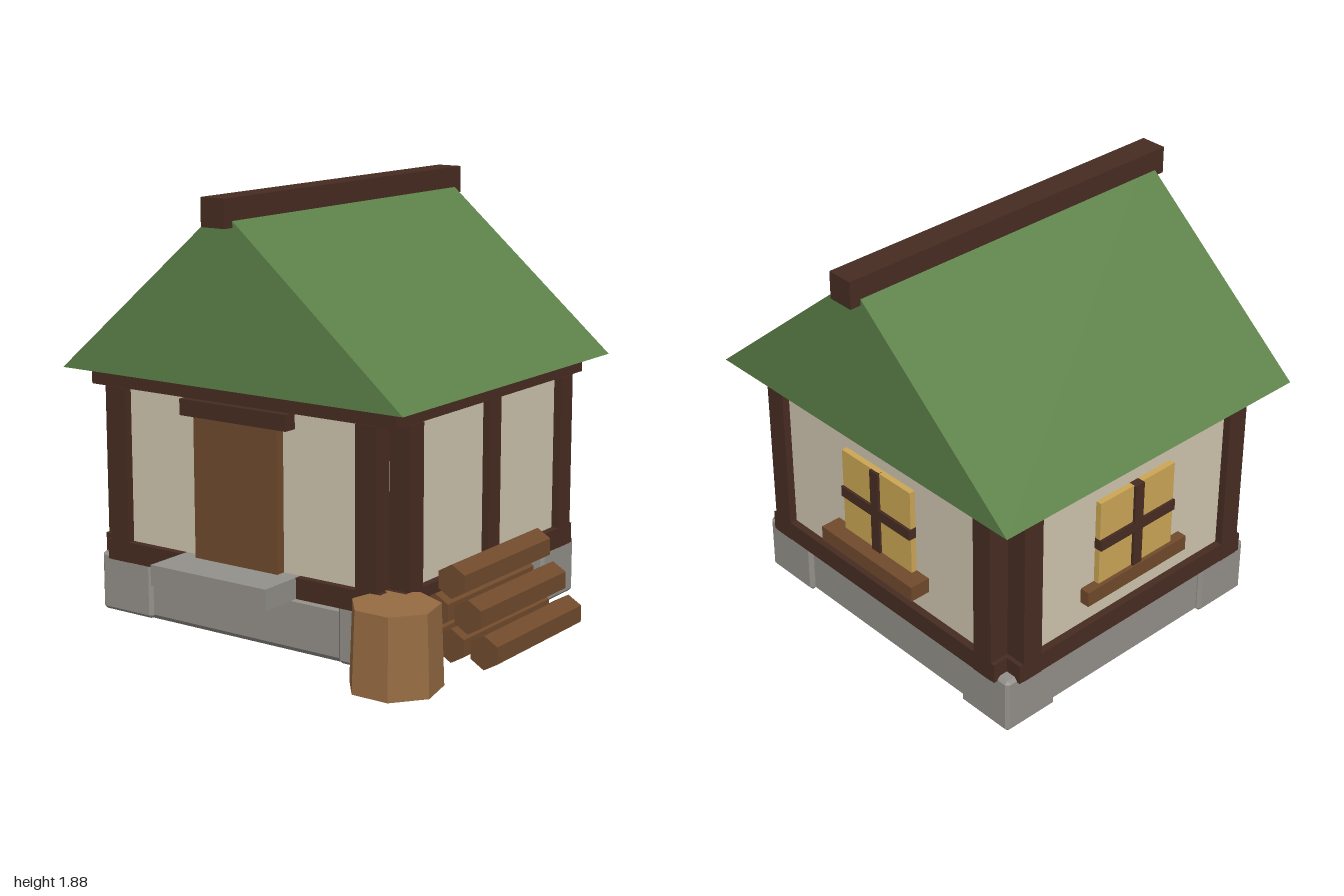
import * as THREE from 'three';
import { ConvexGeometry } from 'three/addons/geometries/ConvexGeometry.js';

const material = (name, color) => {
  const m = new THREE.MeshStandardMaterial({ color });
  m.name = name;
  return m;
};

export function createModel() {
  const mats = {
    roof: material('roof green', 0x5d824a),
    plaster: material('plaster cream', 0xcfc5ae),
    stone: material('stone grey', 0x93908a),
    timber: material('dark timber', 0x472c22),
    wood: material('brown wood', 0x704a2c),
    stump: material('light wood', 0x966b42),
    pane: material('window gold', 0xcba655),
  };
  const model = new THREE.Group();
  model.name = 'cottage';
  const house = new THREE.Group();
  house.name = 'house';
  house.position.set(-0.12, 0, -0.055);
  model.add(house);

  const add = (parent, name, geometry, mat) => {
    const mesh = new THREE.Mesh(geometry, mat);
    mesh.name = name;
    parent.add(mesh);
    return mesh;
  };
  // Box given by its extents on each axis
  const box = (parent, name, mat, x0, x1, y0, y1, z0, z1) => {
    const mesh = add(parent, name, new THREE.BoxGeometry(x1 - x0, y1 - y0, z1 - z0), mat);
    mesh.position.set((x0 + x1) / 2, (y0 + y1) / 2, (z0 + z1) / 2);
    return mesh;
  };
  // Block with all its edges chamfered by b
  const block = (w, h, d, b) => {
    const pts = [];
    for (const x of [-1, 1]) for (const y of [-1, 1]) for (const z of [-1, 1]) {
      for (let k = 0; k < 3; k++) {
        pts.push(new THREE.Vector3(
          x * (w / 2 - (k === 0 ? 0 : b)),
          y * (h / 2 - (k === 1 ? 0 : b)),
          z * (d / 2 - (k === 2 ? 0 : b))));
      }
    }
    return new ConvexGeometry(pts);
  };

  // Stone base with four larger corner stones
  add(house, 'foundation', block(1.52, 0.245, 1.39, 0.024), mats.stone).position.y = 0.1225;
  for (const sx of [-1, 1]) for (const sz of [-1, 1]) {
    add(house, 'cornerStone', block(0.285, 0.262, 0.275, 0.015), mats.stone)
      .position.set(sx * 0.6375, 0.139, sz * 0.5775);
  }

  // Timber-framed wall facing +z at distance d, turned about the house centre
  const wall = (name, half, d, topHalf, angle) => {
    const g = new THREE.Group();
    g.name = name;
    g.rotation.y = angle;
    house.add(g);
    const back = d - 0.095;
    for (const s of [-1, 1]) {
      const c = s * (half - 0.05);
      box(g, 'post', mats.timber, c - 0.05, c + 0.05, 0.25, 1.02, back, d);
    }
    box(g, 'bottomBeam', mats.timber, -half - 0.02, half + 0.02, 0.25, 0.34, back, d - 0.002);
    box(g, 'topBeam', mats.timber, -topHalf, topHalf, 1.02, 1.1, back, d - 0.004);
    box(g, 'plaster', mats.plaster, 0.09 - half, half - 0.09, 0.33, 1.03, back + 0.01, d - 0.035);
    return g;
  };
  const front = wall('frontWall', 0.7, 0.735, 0.787, 0);
  const rear = wall('backWall', 0.7, 0.735, 0.787, Math.PI);
  const left = wall('leftWall', 0.642, 0.797, 0.73, Math.PI / 2);
  const right = wall('rightWall', 0.642, 0.797, 0.73, -Math.PI / 2);
  box(left, 'middlePost', mats.timber, -0.045, 0.045, 0.34, 1.02, 0.71, 0.795);

  // Entrance
  box(front, 'door', mats.wood, -0.217, 0.217, 0.33, 0.96, 0.66, 0.745);
  box(front, 'lintel', mats.timber, -0.277, 0.277, 0.95, 1.02, 0.66, 0.762);
  box(front, 'step', mats.stone, -0.302, 0.302, 0.25, 0.34, 0.66, 0.935);

  // Windows with crossed bars and a sill
  const windowOn = (g, d, sillOut) => {
    box(g, 'windowPane', mats.pane, -0.215, 0.215, 0.5, 0.92, d - 0.06, d - 0.008);
    box(g, 'uprightBar', mats.timber, -0.025, 0.025, 0.52, 0.92, d - 0.05, d + 0.004);
    box(g, 'crossBar', mats.timber, -0.217, 0.217, 0.69, 0.74, d - 0.05, d + 0.003);
    box(g, 'sill', mats.wood, -0.29, 0.29, 0.45, 0.52, d - 0.06, d + sillOut);
  };
  windowOn(rear, 0.735, 0.06);
  windowOn(right, 0.797, 0.01);

  // Solid gabled roof with a ridge beam
  const gable = new THREE.Shape([
    new THREE.Vector2(-0.88, 1.095),
    new THREE.Vector2(0.88, 1.095),
    new THREE.Vector2(0, 1.838),
  ]);
  add(house, 'roof', new THREE.ExtrudeGeometry(gable, { depth: 1.63, bevelEnabled: false }), mats.roof)
    .position.z = -0.815;
  box(house, 'ridgeBeam', mats.timber, -0.06, 0.06, 1.76, 1.88, -0.865, 0.865);

  // Chopping stump
  const stumpGeometry = new THREE.CylinderGeometry(0.182, 0.195, 0.34, 7).toNonIndexed();
  stumpGeometry.computeVertexNormals();
  const stump = add(model, 'stump', stumpGeometry, mats.stump);
  stump.position.set(0.708, 0.17, 0.73);
  stump.rotation.y = Math.PI / 7;

  // Pyramid of six-sided logs
  const logGeometry = new THREE.CylinderGeometry(0.072, 0.072, 0.675, 6).toNonIndexed();
  logGeometry.rotateX(Math.PI / 2);
  logGeometry.computeVertexNormals();
  const pile = new THREE.Group();
  pile.name = 'logPile';
  model.add(pile);
  for (let row = 0; row < 3; row++) {
    for (let i = 0; i < 3 - row; i++) {
      add(pile, 'log', logGeometry, mats.wood)
        .position.set(0.936 - row * 0.078 - i * 0.156, 0.1 + row * 0.134, 0.1);
    }
  }
  return model;
}
